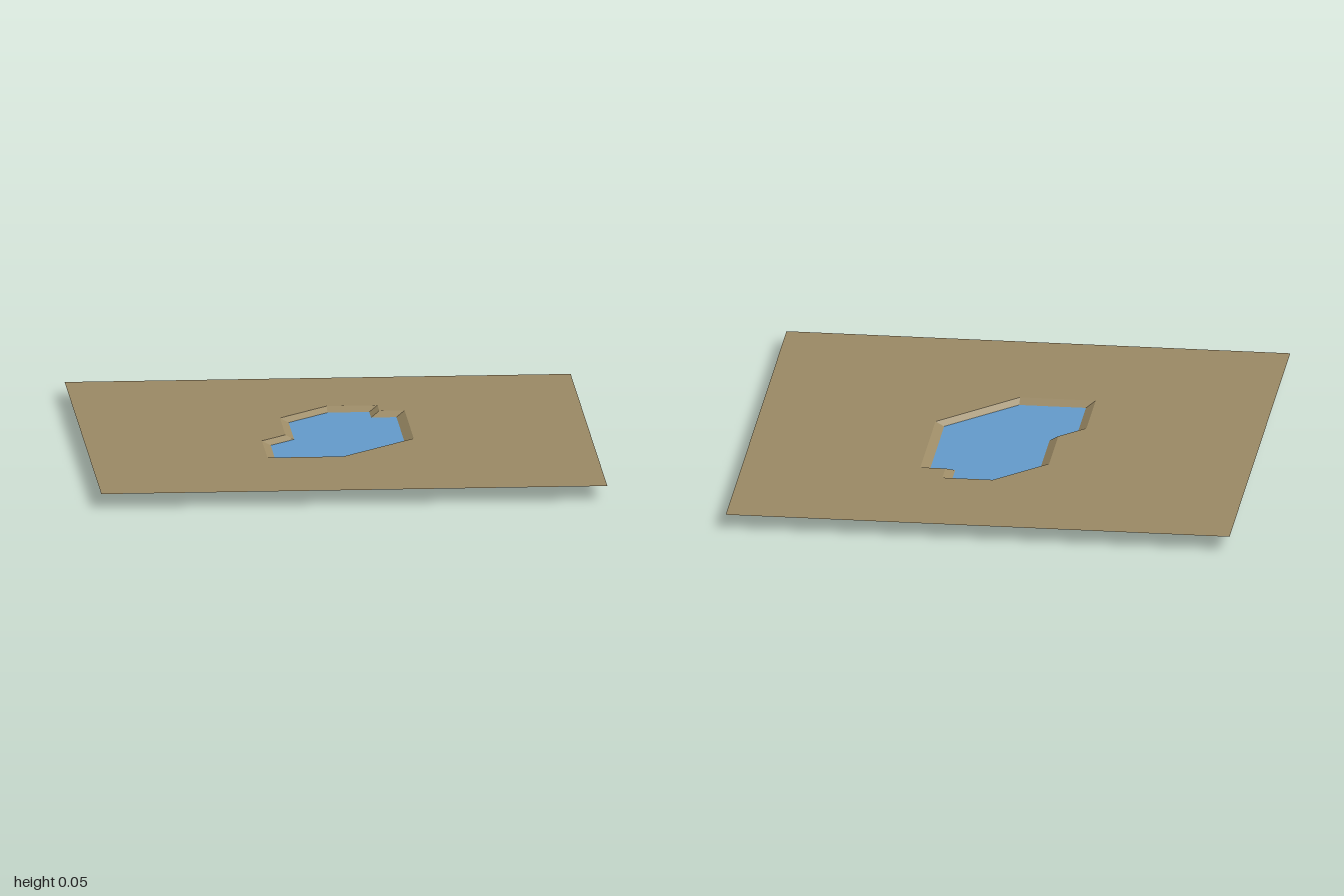
import * as THREE from 'three';

const TOP = 0.055;    // ground level above the pond bed
const WATER = 0.036;  // water level
const CELL = 0.1;

// Sunken grid points per row: [row z, first x, last x], in cells
const BED = [
  [-4, 0, 1], [-3, -1, 2], [-2, -1, 2], [-1, -1, 2], [0, -1, 2],
  [1, -2, 2], [2, -2, 1], [3, -2, 0],
];

function flatMaterial(color) {
  return new THREE.MeshStandardMaterial({ color, flatShading: true, side: THREE.DoubleSide });
}

export function createModel() {
  const group = new THREE.Group();
  group.name = 'pondTerrain';

  // Ground: a grid sheet whose pond points drop to the bed
  const groundGeo = new THREE.PlaneGeometry(2, 2, 20, 20).rotateX(-Math.PI / 2);
  const pos = groundGeo.attributes.position;
  for (let i = 0; i < pos.count; i++) {
    const x = Math.round(pos.getX(i) / CELL);
    const z = Math.round(pos.getZ(i) / CELL);
    const sunken = BED.some(([row, first, last]) => z === row && x >= first && x <= last);
    pos.setY(i, sunken ? 0 : TOP);
  }
  groundGeo.computeVertexNormals();
  const ground = new THREE.Mesh(groundGeo, flatMaterial(0x9b8a65));
  ground.name = 'ground';
  group.add(ground);

  // Water: a level sheet under the ground, showing only in the hollow
  const waterGeo = new THREE.PlaneGeometry(1.8, 1.8).rotateX(-Math.PI / 2);
  const water = new THREE.Mesh(waterGeo, flatMaterial(0x649ccc));
  water.name = 'water';
  water.position.y = WATER;
  group.add(water);

  return group;
}
